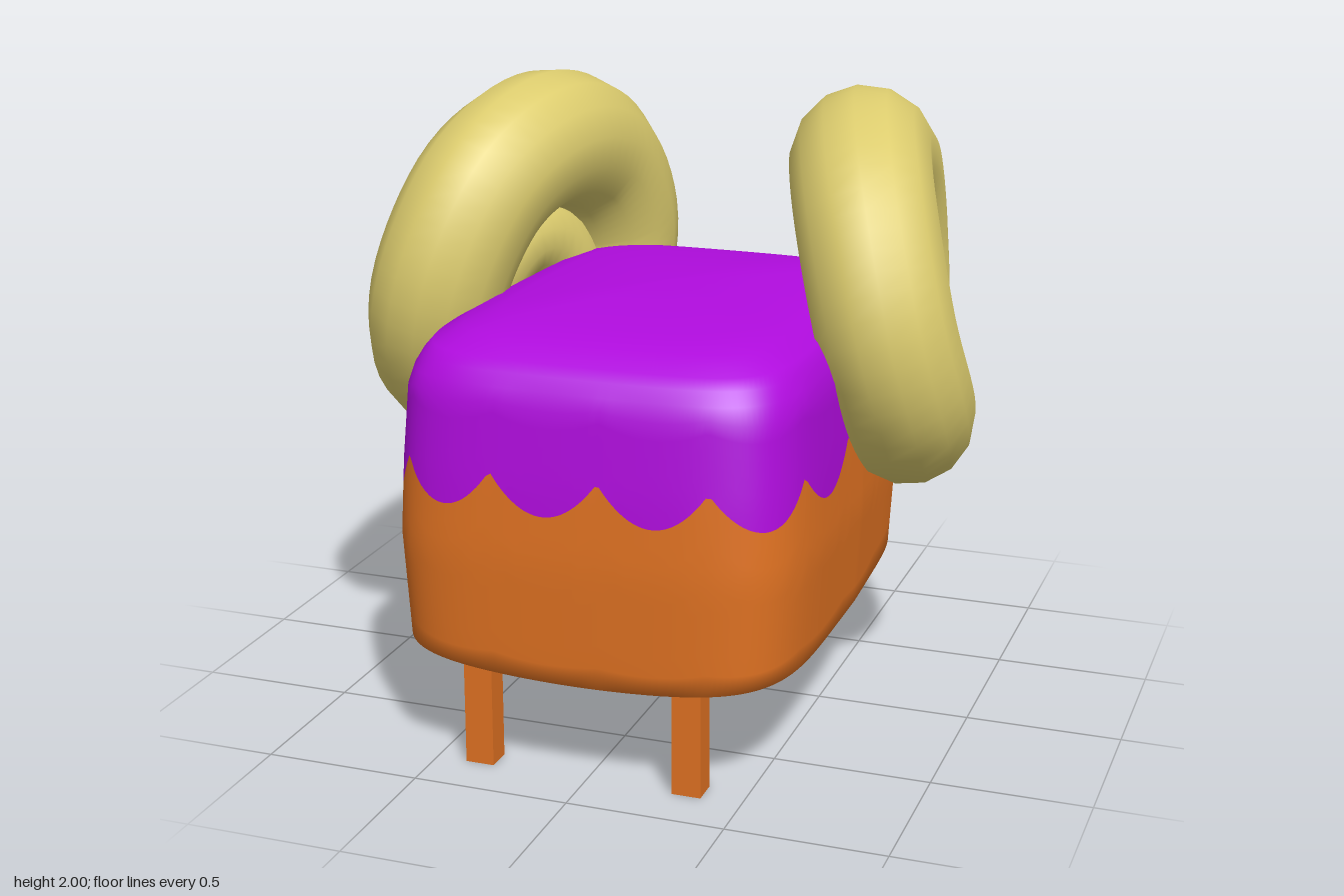
import * as THREE from 'three';
import { mergeVertices } from 'three/addons/utils/BufferGeometryUtils.js';

const mat = (name, color) => {
  const m = new THREE.MeshStandardMaterial({ color });
  m.name = name;
  return m;
};

// Body plan: a rounded rectangle (superellipse) around (CX, CZ), ends bowed, narrower at the back
const CX = -0.012, CZ = 0.07, HW = 0.665, HL = 0.85, POW = 6, BOW = 0.03, TAPER = 0.06, N = 320;
const TOP = 1.24;
// Wall and dome sections: [height, width scale, length scale]
const wall = [[0.33, 0.965, 0.985], [0.4, 0.97, 0.99], [0.72, 1, 1], [0.95, 0.985, 0.985], [1.2, 0.96, 0.957], [TOP, 0.936, 0.937]];
const dome = [[1.28, 0.905], [1.31, 0.87], [1.35, 0.76], [1.375, 0.62], [1.395, 0.3], [1.4, 0]];

function wallScale(y) {
  for (let i = 1; i < wall.length; i++) {
    const [y0, a0, b0] = wall[i - 1], [y1, a1, b1] = wall[i];
    if (y <= y1) {
      const t = (y - y0) / (y1 - y0);
      return [a0 + (a1 - a0) * t, b0 + (b1 - b0) * t];
    }
  }
  return wall[wall.length - 1].slice(1);
}

// Outline point at step i, counted from the middle of the front towards +x
function outline(i, sx = 1, sz = sx) {
  const a = (i / N) * Math.PI * 2, x = Math.sin(a), z = Math.cos(a);
  const r = Math.pow(Math.abs(x) ** POW + Math.abs(z) ** POW, -1 / POW);
  const narrow = 1 - TAPER * Math.max(0, -r * z);
  return [CX + HW * sx * r * x * narrow, CZ + HL * sz * r * z * (1 - BOW * (r * x) ** 2)];
}

// Signed distance along the outline from the front middle
const distance = new Array(N).fill(0);
for (let i = 1; i <= N / 2; i++) {
  const [x0, z0] = outline(i - 1), [x1, z1] = outline(i);
  distance[i] = distance[i - 1] + Math.hypot(x1 - x0, z1 - z0);
}
for (let i = 1; i < N / 2; i++) distance[N - i] = -distance[i];

// Scalloped hem of the blanket: [cusp position, lowest point up to the next cusp]
const hem = [[-1.8, 0.87], [-1.4, 0.87], [-0.98, 0.8], [-0.58, 0.87], [-0.265, 0.87], [0.085, 0.87],
  [0.43, 0.87], [0.79, 0.87], [1.22, 0.87], [1.65, 0.87], [2.05, 0.87]];
const CUSP = 0.99;
function hemY(i) {
  const s = distance[i % N], z = outline(i)[1];
  let y = CUSP;
  for (let k = 0; k < hem.length - 1; k++) {
    const [a, low] = hem[k], b = hem[k + 1][0];
    if (s >= a && s < b) y = low + (CUSP - low) * (2 * (s - a) / (b - a) - 1) ** 2;
  }
  const back = THREE.MathUtils.clamp((-0.1 - z) / 0.5, 0, 1);
  return y + (1.235 - y) * back;
}

const bottomY = (x) => 0.34 + 0.045 * (x / 0.65) ** 2;

// Surface of closed loops, point(i, j) with j running across the loops
function loops(rows, point) {
  const pos = [], idx = [];
  for (let j = 0; j < rows; j++) for (let i = 0; i < N; i++) pos.push(...point(i, j));
  for (let j = 0; j < rows - 1; j++) {
    for (let i = 0; i < N; i++) {
      const a = j * N + i, b = j * N + (i + 1) % N;
      idx.push(a, b, b + N, a, b + N, a + N);
    }
  }
  const g = new THREE.BufferGeometry();
  g.setAttribute('position', new THREE.Float32BufferAttribute(pos, 3));
  g.setIndex(idx);
  g.computeVertexNormals();
  return g;
}

function onWall(i, y) {
  const [x, z] = outline(i, ...wallScale(y));
  return [x, y, z];
}

// Tapered horn: a tube whose radius follows its own curve
function hornGeometry(side, shiftZ) {
  const path = [
    [0.5, 0.965, -0.65, 0.04], [0.5, 1.0, -0.66, 0.17], [0.505, 1.14, -0.68, 0.23],
    [0.485, 1.42, -0.69, 0.24], [0.5, 1.67, -0.53, 0.235], [0.545, 1.77, -0.22, 0.23],
    [0.635, 1.66, 0.06, 0.225], [0.74, 1.34, 0.195, 0.22], [0.78, 1.09, 0.09, 0.22],
    [0.73, 0.94, -0.18, 0.205], [0.65, 1.02, -0.41, 0.185], [0.595, 1.22, -0.47, 0.17],
    [0.615, 1.38, -0.38, 0.155], [0.655, 1.43, -0.22, 0.145], [0.7, 1.31, -0.08, 0.13],
    [0.705, 1.19, -0.19, 0.11], [0.685, 1.27, -0.28, 0.075], [0.7, 1.32, -0.22, 0.045], [0.7, 1.28, -0.18, 0.01]];
  const curve = new THREE.CatmullRomCurve3(path.map(([x, y, z]) => new THREE.Vector3(side * x, y, z + shiftZ)));
  const radii = new THREE.CatmullRomCurve3(path.map((p) => new THREE.Vector3(p[3], 0, 0)), false, 'catmullrom');
  const steps = 80, sides = 14;
  const g = new THREE.TubeGeometry(curve, steps, 1, sides);
  const p = g.attributes.position, n = g.attributes.normal;
  for (let i = 0; i <= steps; i++) {
    const c = curve.getPointAt(i / steps);
    const r = Math.max(0.005, radii.getPoint(curve.getUtoTmapping(i / steps)).x);
    for (let j = 0; j <= sides; j++) {
      const k = i * (sides + 1) + j;
      p.setXYZ(k, c.x + n.getX(k) * r, c.y + n.getY(k) * r, c.z + n.getZ(k) * r);
    }
  }
  g.deleteAttribute('uv');
  g.deleteAttribute('normal');
  const merged = mergeVertices(g, 1e-5);
  merged.computeVertexNormals();
  return merged;
}

// Eye patch laid on the back wall
function eyeGeometry(x0, y0) {
  const pts = [[-0.063, 0.06], [-0.01, 0.066], [0.058, 0.048], [0.065, -0.035], [0.028, -0.068], [-0.025, -0.055], [-0.056, -0.015]];
  const g = new THREE.ShapeGeometry(new THREE.Shape(pts.map(([x, y]) => new THREE.Vector2(x, y))));
  g.rotateY(Math.PI);
  const p = g.attributes.position;
  for (let i = 0; i < p.count; i++) {
    const x = p.getX(i) + x0, y = p.getY(i) + y0, [sx, sz] = wallScale(y);
    const xn = Math.abs(x - CX) / (HW * sx * (1 - TAPER));
    const reach = Math.pow(1 - xn ** POW, 1 / POW) * (1 - BOW * xn * xn);
    p.setXYZ(i, x, y, CZ - HL * sz * reach - 0.006);
  }
  g.computeVertexNormals();
  return g;
}

export function createModel() {
  const group = new THREE.Group();
  const orange = mat('orange hide', 0xe07222);
  const purple = mat('purple blanket', 0xb00cde);
  const tan = mat('pale horn', 0xdccc6e);
  const dark = mat('dark eye', 0x1c1c0c);
  const add = (name, geometry, material) => {
    const m = new THREE.Mesh(geometry, material);
    m.name = name;
    group.add(m);
    return m;
  };

  // Body: underside rings out to the rim, then the wall up to the hem
  const belly = [0, 0.3, 0.6, 0.85, 0.95];
  add('body', loops(belly.length + 10, (i, j) => {
    const low = bottomY(outline(i)[0]);
    if (j >= belly.length) return onWall(i, low + (hemY(i) - low) * (j - belly.length) / 9);
    const [sx, sz] = wallScale(low);
    const [x, z] = outline(i, sx * belly[j], sz * belly[j]);
    return [x, bottomY(x), z];
  }), orange);

  // Blanket from the hem over the domed top
  add('blanket', loops(8 + dome.length, (i, j) => {
    if (j < 8) return onWall(i, hemY(i) + (TOP - hemY(i)) * j / 7);
    const [y, s] = dome[j - 8];
    const [x, z] = outline(i, s);
    return [x, y, z];
  }), purple);

  // Legs
  for (const x of [-0.355, 0.325]) {
    for (const z of [0.795, -0.595]) {
      add(z > 0 ? 'frontLeg' : 'backLeg', new THREE.BoxGeometry(0.092, 0.38, 0.084), orange).position.set(x, 0.19, z);
    }
  }

  // Curled horns
  add('leftHorn', hornGeometry(1, 0), tan);
  add('rightHorn', hornGeometry(-1, 0.03), tan);

  // Eyes
  for (const x of [0.18, -0.235]) add('eye', eyeGeometry(x, 0.86), dark);

  return group;
}
